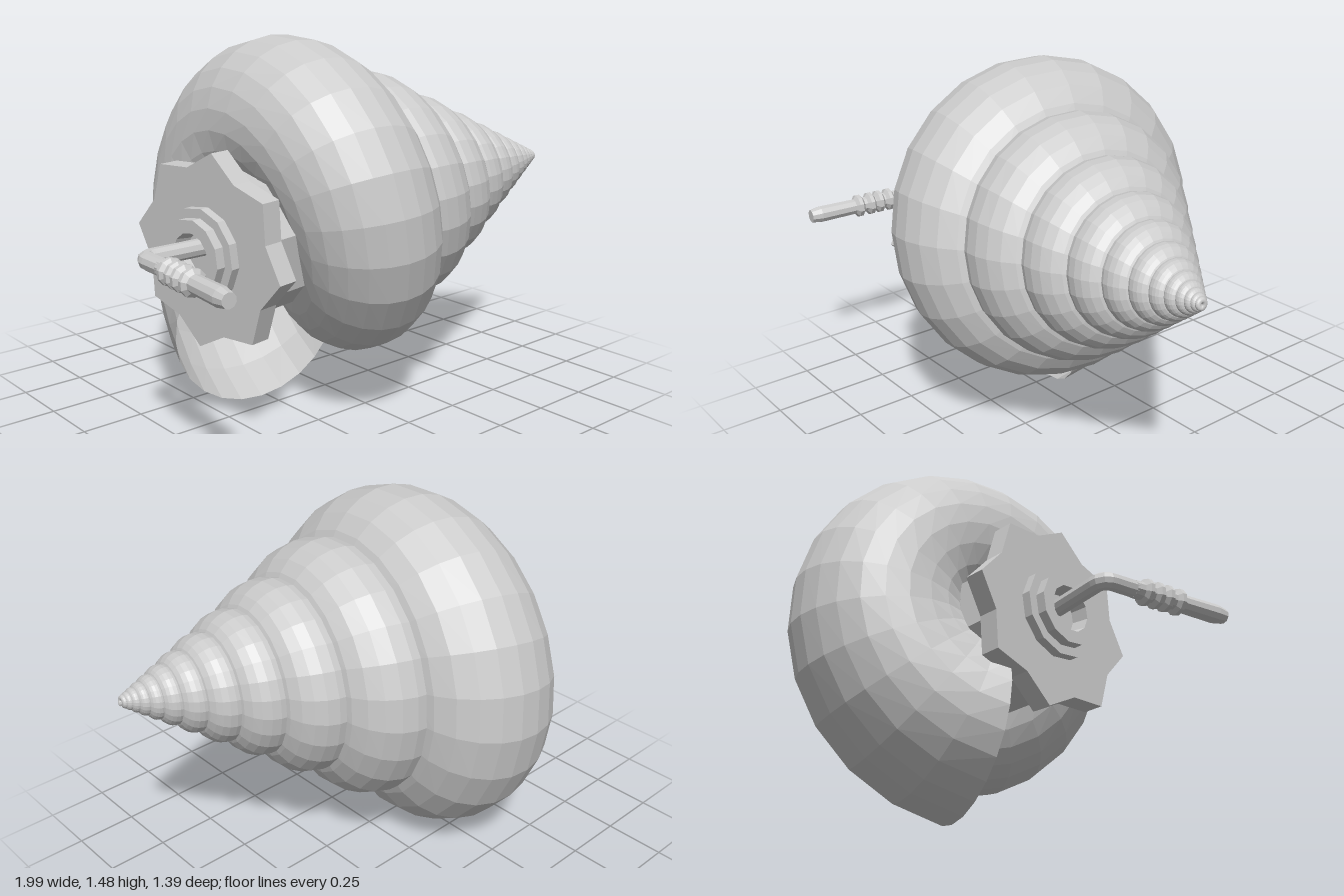
import * as THREE from 'three';

const V = (x, y, z) => new THREE.Vector3(x, y, z);
const material = new THREE.MeshStandardMaterial({ color: 0xcccccc, flatShading: true, side: THREE.DoubleSide });

function part(name, geometry, parent) {
  const mesh = new THREE.Mesh(geometry, material);
  mesh.name = name;
  parent.add(mesh);
  return mesh;
}

// Round tube wound on a cone: every turn is the previous one scaled towards the apex
function shellGeometry() {
  const apex = V(1.02, 0.925, 0.27);
  const toBase = V(-1.385, -0.134, -0.26); // apex to the centre of the mouth turn
  const axis = toBase.clone().normalize();
  const down = V(0, -1, 0).addScaledVector(axis, axis.y).normalize();
  const back = down.clone().cross(axis);
  const ringRadius = 0.43, tubeRadius = 0.36, shrink = 0.74;
  const turns = 12, perTurn = 24, sides = 24, start = 0.14;
  const rows = turns * perTurn;
  const positions = [], index = [];
  for (let i = 0; i <= rows; i++) {
    const turn = i / perTurn;
    const phi = start + turn * Math.PI * 2;
    const scale = Math.pow(shrink, turn);
    const radial = down.clone().multiplyScalar(Math.cos(phi)).addScaledVector(back, Math.sin(phi));
    const tube = i === rows ? 0 : tubeRadius; // the last section closes the tip
    for (let j = 0; j < sides; j++) {
      const a = (j / sides) * Math.PI * 2;
      const p = toBase.clone()
        .addScaledVector(radial, ringRadius + tube * Math.cos(a))
        .addScaledVector(axis, tube * Math.sin(a))
        .multiplyScalar(scale).add(apex);
      positions.push(p.x, p.y, p.z);
      if (i < rows) {
        const b = i * sides + j, c = i * sides + (j + 1) % sides;
        index.push(b, c, b + sides, c, c + sides, b + sides);
      }
    }
  }
  const g = new THREE.BufferGeometry();
  g.setAttribute('position', new THREE.Float32BufferAttribute(positions, 3));
  g.setIndex(index);
  g.computeVertexNormals();
  return g;
}

// Eight-pointed plate: a 16-sided disc with every second corner pulled in
function plateGeometry(outer, inner, thickness) {
  const shape = new THREE.Shape();
  for (let i = 0; i < 16; i++) {
    const a = (i / 16) * Math.PI * 2, r = i % 2 ? inner : outer;
    shape[i ? 'lineTo' : 'moveTo'](r * Math.cos(a), r * Math.sin(a));
  }
  const g = new THREE.ExtrudeGeometry(shape, { depth: thickness, bevelEnabled: false });
  return g.translate(0, 0, -thickness / 2).rotateX(-Math.PI / 2);
}

const lathe = (points, sides) =>
  new THREE.LatheGeometry(points.map(([r, y]) => new THREE.Vector2(r, y)), sides);

export function createModel() {
  const model = new THREE.Group();
  model.name = 'shellWithCrank';

  part('spiralShell', shellGeometry(), model);

  // Mount on the broad side of the shell; its local y points outwards
  const mount = new THREE.Group();
  mount.name = 'crankMount';
  mount.position.set(-0.63, 0.74, 0.11);
  mount.quaternion.setFromUnitVectors(V(0, 1, 0), V(-0.99, -0.02, 0.135).normalize());
  model.add(mount);
  part('neck', new THREE.CylinderGeometry(0.28, 0.28, 0.42, 8, 1, false, Math.PI / 8), mount).position.y = -0.2;
  part('pointedPlate', plateGeometry(0.375, 0.315, 0.08), mount);
  part('steppedCollar', lathe([
    [0, 0.04], [0.175, 0.04], [0.175, 0.075], [0.14, 0.075],
    [0.14, 0.112], [0.09, 0.112], [0.08, 0.05], [0, 0.05],
  ], 12), mount);

  // Bent crank rod
  const rodPath = new THREE.CurvePath();
  const bend = [V(-0.64, 0.765, 0.118), V(-0.895, 0.765, 0.118), V(-0.932, 0.765, 0.155), V(-0.936, 0.765, 0.27)];
  rodPath.add(new THREE.LineCurve3(bend[0], bend[1]));
  rodPath.add(new THREE.QuadraticBezierCurve3(bend[1], V(-0.928, 0.765, 0.118), bend[2]));
  rodPath.add(new THREE.LineCurve3(bend[2], bend[3]));
  part('crankRod', new THREE.TubeGeometry(rodPath, 24, 0.033, 10), model);

  // Handle with four raised rings and a tapered end
  const profile = [[0, 0], [0.033, 0]];
  for (const y of [0.055, 0.103, 0.146, 0.2]) {
    profile.push([0.034, y - 0.02], [0.05, y - 0.008], [0.05, y + 0.008], [0.034, y + 0.02]);
  }
  profile.push([0.036, 0.38], [0.028, 0.423], [0, 0.423]);
  const handle = part('crankHandle', lathe(profile, 10), model);
  handle.position.set(-0.936, 0.765, 0.25);
  handle.quaternion.setFromUnitVectors(V(0, 1, 0), V(-0.03, -0.005, 0.42).normalize());

  return model;
}
